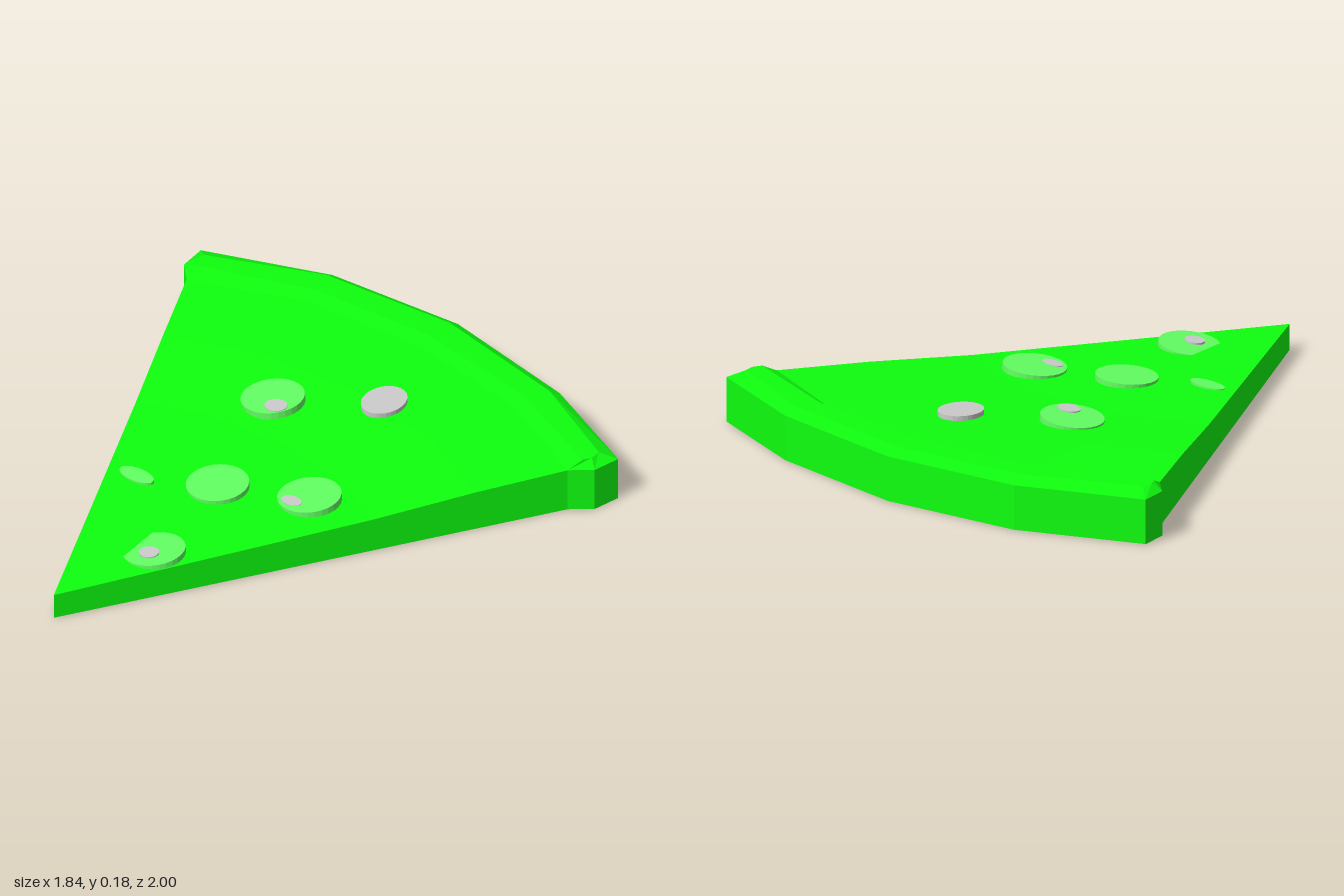
import * as THREE from 'three';

const material = (color) => new THREE.MeshStandardMaterial({ color, flatShading: true });

// Flat-shaded mesh from a list of triangles, each three [x, y, z] points
function facetMesh(name, triangles, mat) {
  const geometry = new THREE.BufferGeometry();
  geometry.setAttribute('position', new THREE.Float32BufferAttribute(triangles.flat(2), 3));
  geometry.computeVertexNormals();
  const mesh = new THREE.Mesh(geometry, mat);
  mesh.name = name;
  return mesh;
}

const quad = (a, b, c, d) => [[a, b, c], [a, c, d]];
const atHeight = (outline, y) => outline.map(([x, z]) => [x, y, z]);

// Wall between two closed rings running counter-clockwise seen from above
function wall(lower, upper) {
  return lower.flatMap((p, i) => {
    const j = (i + 1) % lower.length;
    return quad(p, lower[j], upper[j], upper[i]);
  });
}

function cap(ring, faceUp) {
  const contour = ring.map(([x, , z]) => new THREE.Vector2(x, -z));
  return THREE.ShapeUtils.triangulateShape(contour, []).map(([a, b, c]) =>
    faceUp ? [ring[a], ring[b], ring[c]] : [ring[a], ring[c], ring[b]]);
}

// Arc where the slice meets the crust, left to right on the plan
const innerArc = [[-0.84, -0.6], [-0.46, -0.77], [0, -0.82], [0.47, -0.76], [0.84, -0.6]];

function createSlice(mat) {
  // Fraction of the way from tip to crust, and height of the top there
  const profile = [[0, 0.09], [0.28, 0.104], [0.62, 0.122], [0.82, 0.144], [1, 0.155]];
  const row = (t, y) => innerArc.map(([x, z]) => [x * t, y, 1 + (z - 1) * t]);
  const triangles = [];
  for (let k = 0; k < profile.length - 1; k++) {
    const [t0, y0] = profile[k], [t1, y1] = profile[k + 1];
    const near = row(t0, y0), far = row(t1, y1);
    for (let i = 0; i < 4; i++) {
      if (k === 0) triangles.push([near[i], far[i + 1], far[i]]);
      else triangles.push(...quad(near[i], near[i + 1], far[i + 1], far[i]));
    }
    // Cut sides
    const nearLow = row(t0, 0), farLow = row(t1, 0);
    triangles.push(...quad(nearLow[4], farLow[4], far[4], near[4]));
    triangles.push(...quad(farLow[0], nearLow[0], near[0], far[0]));
  }
  const base = atHeight([[0, 1], ...[...innerArc].reverse()], 0);
  triangles.push(...cap(base, false));
  return facetMesh('slice', triangles, mat);
}

function createCrust(mat) {
  const outline = [...innerArc, [0.905, -0.66],
    [0.92, -0.76], [0.52, -0.92], [0, -1], [-0.5, -0.94], [-0.92, -0.76], [-0.905, -0.66]];
  const topOutline = [[-0.86, -0.65], [-0.46, -0.81], [0, -0.86], [0.47, -0.8], [0.86, -0.65], [0.875, -0.68],
    [0.87, -0.72], [0.51, -0.88], [0, -0.96], [-0.49, -0.9], [-0.87, -0.72], [-0.875, -0.68]];
  const low = atHeight(outline, 0), shoulder = atHeight(outline, 0.155), top = atHeight(topOutline, 0.18);
  return facetMesh('crust',
    [...wall(low, shoulder), ...wall(shoulder, top), ...cap(top, true), ...cap(low, false)], mat);
}

// Thin round topping; y is the height of its upper face, tilts are in radians
function createDisc(name, [x, y, z, rx, rz, tiltX, tiltZ], mat) {
  const thickness = 0.024;
  const geometry = new THREE.CylinderGeometry(1, 1, thickness, 28);
  geometry.translate(0, -thickness / 2, 0);
  geometry.scale(rx, 1, rz);
  const mesh = new THREE.Mesh(geometry, mat);
  mesh.name = name;
  mesh.position.set(x, y, z);
  mesh.rotation.set(tiltX, 0, tiltZ);
  return mesh;
}

export function createModel() {
  const group = new THREE.Group();
  group.name = 'pizzaSlice';
  const green = material(0x0fff0f), paleGreen = material(0x62ff62), grey = material(0xcccccc);
  group.add(createSlice(green), createCrust(green));

  // Large pale toppings
  const pale = [
    [-0.18, 0.15, -0.285, 0.107, 0.107, 0.04, 0.1],
    [0.28, 0.134, 0.05, 0.107, 0.107, 0.05, 0.08],
    [0, 0.127, 0.19, 0.105, 0.105, 0.06, 0.04],
    [-0.24, 0.117, 0.32, 0.07, 0.033, 0.05, 0.03],
    [0.085, 0.109, 0.6, 0.105, 0.105, 0.04, 0.12],
  ];
  pale.forEach((d, i) => group.add(createDisc(`paleTopping${i + 1}`, d, paleGreen)));

  // Grey toppings, the small ones resting on the pale ones
  const greys = [
    [0.12, 0.161, -0.5, 0.07, 0.085, 0.03, 0],
    [-0.13, 0.157, -0.245, 0.04, 0.035, 0.04, 0.08],
    [0.255, 0.131, 0.11, 0.04, 0.025, 0.04, 0.06],
    [0.088, 0.114, 0.628, 0.035, 0.032, 0.04, 0.08],
  ];
  greys.forEach((d, i) => group.add(createDisc(`greyTopping${i + 1}`, d, grey)));
  return group;
}
